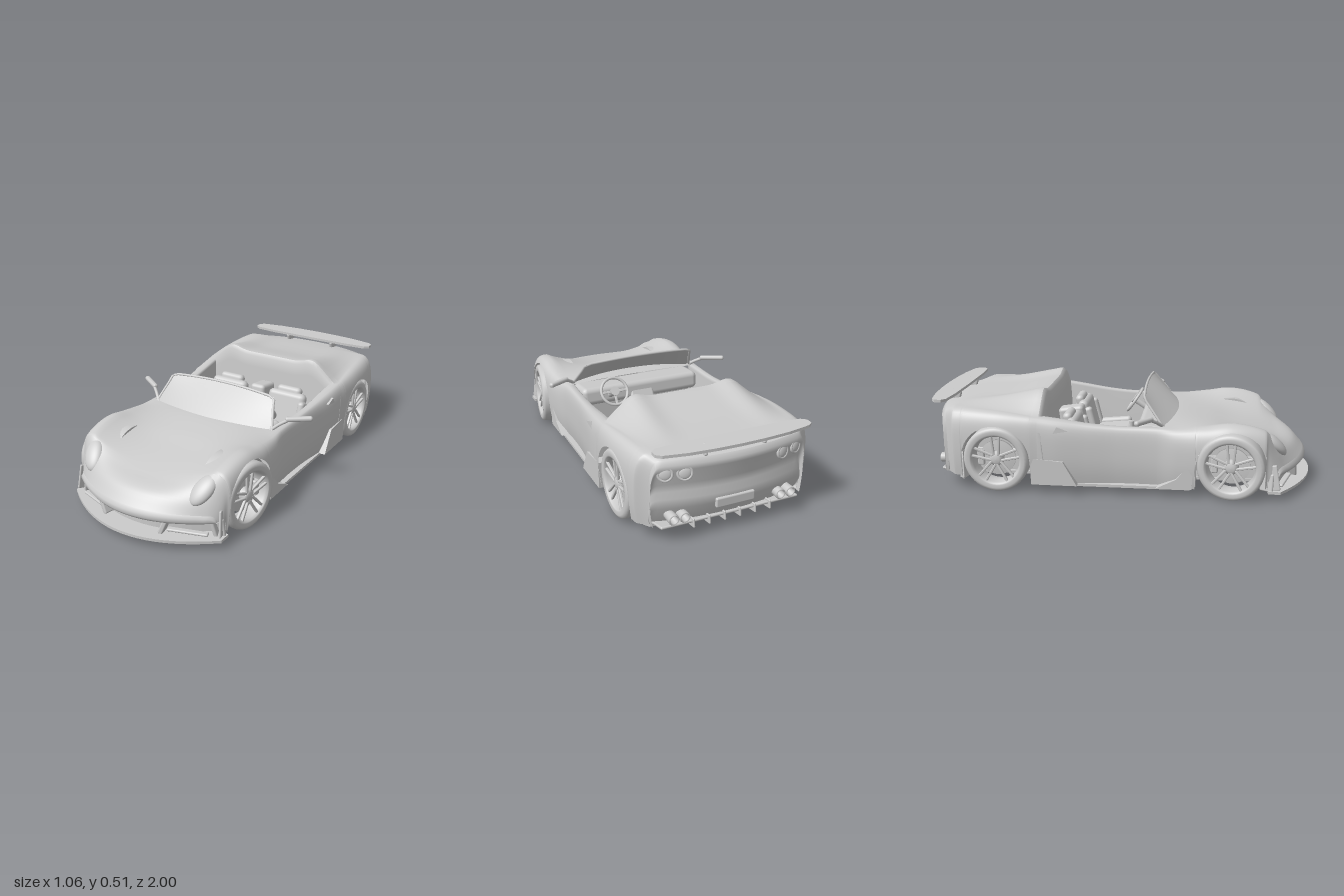
import * as THREE from 'three';
import { RoundedBoxGeometry } from 'three/addons/geometries/RoundedBoxGeometry.js';

const mat = new THREE.MeshStandardMaterial({ color: 0xcccccc, side: THREE.DoubleSide });
const V = (x, y, z) => new THREE.Vector3(x, y, z);
const { lerp, clamp, smoothstep } = THREE.MathUtils;
const range = (n, a = 0, b = 1) => Array.from({ length: n + 1 }, (_, i) => lerp(a, b, i / n));
const WHEEL_Y = 0.17, ARCH = 0.18, FRONT_Z = 0.575, REAR_Z = -0.62;

// station z, half width, fender crest x, fender crest y, centre y, buttress height
const STATIONS = [
  [-0.96, 0.40, 0.34, 0.405, 0.41, 0], [-0.85, 0.45, 0.36, 0.428, 0.425, 0.002],
  [-0.62, 0.472, 0.39, 0.42, 0.448, 0.02], [-0.45, 0.468, 0.405, 0.402, 0.48, 0.032],
  [-0.40, 0.462, 0.405, 0.396, 0.485, 0.036], [-0.30, 0.455, 0.40, 0.383, 0.485, 0],
  [-0.15, 0.435, 0.395, 0.362, 0.4, 0], [0, 0.42, 0.39, 0.35, 0.36, 0],
  [0.2, 0.42, 0.385, 0.35, 0.36, 0], [0.3, 0.44, 0.38, 0.348, 0.36, 0],
  [0.45, 0.46, 0.37, 0.366, 0.338, 0], [0.57, 0.462, 0.37, 0.382, 0.312, 0],
  [0.7, 0.45, 0.365, 0.362, 0.287, 0], [0.8, 0.43, 0.35, 0.315, 0.264, 0],
  [0.9, 0.42, 0.34, 0.23, 0.235, 0], [0.96, 0.41, 0.36, 0.165, 0.175, 0]];

// smooth interpolation of the station table
function station(s) {
  const T = STATIONS, n = T.length - 1;
  let i = 0;
  while (i < n - 1 && s > T[i + 1][0]) i++;
  const h = T[i + 1][0] - T[i][0], t = (s - T[i][0]) / h;
  const slope = (k, c) => {
    const a = T[Math.max(k - 1, 0)], b = T[Math.min(k + 1, n)];
    return (b[c] - a[c]) / (b[0] - a[0]) * h;
  };
  return [1, 2, 3, 4, 5].map(c => (2 * t ** 3 - 3 * t * t + 1) * T[i][c] + (t ** 3 - 2 * t * t + t) * slope(i, c)
    + (3 * t * t - 2 * t ** 3) * T[i + 1][c] + (t ** 3 - t * t) * slope(i + 1, c));
}

// rounds the nose and tail in plan
function bend(s, x) {
  const k = (x / 0.42) ** 2;
  if (s > 0.74) return s - (s - 0.74) / 0.22 * 0.17 * k;
  if (s < -0.84) return s + (-0.84 - s) / 0.12 * 0.08 * k;
  return s;
}

// lower edge of the body side, with the wheel arches cut out
function lowerEdge(s) {
  const base = s > 0.76 ? 0.06 + 0.07 * smoothstep(s, 0.76, 0.9) : s < -0.8 ? 0.08 : 0.05;
  for (const c of [FRONT_Z, REAR_Z]) {
    const d = Math.abs(s - c);
    if (d <= ARCH) return WHEEL_Y + Math.sqrt(ARCH * ARCH - d * d);
  }
  return base;
}

function sidePoints(s) {
  const [w, fx, f] = station(s), lo = lowerEdge(s), mid = 0.55 * f;
  return range(14).map(t => {
    const y = lo + (f - lo) * Math.sin(t * Math.PI / 2), u = clamp((y - mid) / (f - mid), 0, 1);
    const x = y < mid ? w - 0.03 * ((mid - y) / mid) ** 2 : fx + (w - fx) * Math.cbrt(1 - u ** 3);
    return V(x, y, bend(s, x));
  });
}

function fullSection(s) {
  const [, fx, f, c, hump] = station(s), side = sidePoints(s);
  const top = range(32, 1, -1).slice(1, -1).map(u => {
    const x = fx * u, a = Math.abs(u);
    const y = c + (f - c) * a ** (s < 0 ? 4 : 2.5) + hump * Math.exp(-(((Math.abs(x) - 0.27) / 0.07) ** 2));
    return V(x, y, bend(s, x));
  });
  return [...side, ...top, ...side.map(p => V(-p.x, p.y, p.z)).reverse()];
}

function doorSection(s) {
  const side = sidePoints(s), p = side[side.length - 1];
  return [...side, V(p.x - 0.02, p.y - 0.001, s), V(p.x - 0.03, p.y - 0.012, s), V(p.x - 0.04, 0.08, s)];
}

function stations(a, b) {
  const edges = [FRONT_Z, REAR_Z].flatMap(c => [-1, 1].flatMap(k => [c + k * ARCH, c + k * (ARCH + 0.001)]));
  return [...range(Math.round((b - a) / 0.012), a, b), ...edges.filter(e => e > a && e < b)].sort((p, q) => p - q);
}

export function createModel() {
  const car = new THREE.Group();
  car.name = 'openSportsCar';
  const add = (name, geo, pos = [0, 0, 0], rot = [0, 0, 0], parent = car) => {
    const m = new THREE.Mesh(geo, mat);
    m.name = name;
    m.position.set(...pos);
    m.rotation.set(...rot);
    parent.add(m);
    return m;
  };
  const box = (name, size, pos, rot, parent, r = 0.008) =>
    add(name, new RoundedBoxGeometry(...size, 2, Math.min(r, Math.min(...size) / 2.1)), pos, rot, parent);
  const surface = (name, rows, parent) => {
    const n = rows[0].length, idx = [];
    for (let i = 0; i < rows.length - 1; i++) for (let j = 0; j < n - 1; j++) {
      const a = i * n + j, b = a + n;
      idx.push(a, a + 1, b, a + 1, b + 1, b);
    }
    const g = new THREE.BufferGeometry().setFromPoints(rows.flat());
    g.setIndex(idx);
    g.computeVertexNormals();
    return add(name, g, undefined, undefined, parent);
  };
  const extrude = (pts, depth) => new THREE.ExtrudeGeometry(new THREE.Shape(pts.map(p => new THREE.Vector2(...p))),
    { depth, bevelEnabled: false });
  // mirrored plan outline (x, z) given from the front centre to the rear centre
  const plan = (name, half, y, h) => add(name,
    extrude([...half, ...half.slice().reverse().map(([x, z]) => [-x, z])], h).rotateX(Math.PI / 2), [0, y + h, 0]);
  const tube = (name, pts, r, parent) => add(name,
    new THREE.TubeGeometry(new THREE.CatmullRomCurve3(pts), 24, r, 8), undefined, undefined, parent);
  const bothSides = (name, build) => [1, -1].forEach(k => {
    const g = new THREE.Group();
    g.name = name;
    g.scale.x = k;
    car.add(g);
    build(g);
  });
  const cap = (name, s, bottom, profile) => {
    const sec = fullSection(s);
    surface(name, profile.map(([t, dz]) => sec.map(p => V(p.x, lerp(p.y, bottom, t), p.z + dz))));
  };

  // body shell
  surface('frontBody', stations(0.2, 0.96).map(fullSection));
  surface('rearBody', stations(-0.96, -0.4).map(fullSection));
  bothSides('doorSide', g => surface('doorPanel', stations(-0.41, 0.21).map(doorSection), g));
  cap('noseBumper', 0.96, 0.125, [[0, 0], [0.3, 0.012], [0.7, 0.014], [1, 0.004], [1, -0.07]]);
  cap('tailPanel', -0.96, 0.08, [[0, 0], [0.06, -0.018], [0.14, -0.014], [0.38, 0.008], [0.5, 0.012], [0.6, 0], [0.75, 0.004], [1, 0.04]]);
  cap('rearBulkhead', -0.4, 0.08, [[0, 0], [0.04, 0.018], [0.2, 0.024], [1, 0.04]]);

  // floor, splitter and front intake
  const arc = (z0, drop, w) => range(10, 0, w).map(x => [x, z0 - drop * (x / w) ** 2]);
  plan('floorPan', [...arc(1, 0.18, 0.44), [0.44, 0.76], [0.27, 0.74], [0.27, 0.4], [0.43, 0.37], [0.435, -0.42],
    [0.28, -0.45], [0.28, -0.79], [0.39, -0.81], [0.37, -0.84]], 0.04, 0.014);
  plan('grilleBack', [...arc(0.9, 0.15, 0.4), [0.4, 0.72]], 0.05, 0.09);
  bothSides('intakeFrame', g => {
    for (const [x, w, lean] of [[0.175, 0.025, -0.4], [0.375, 0.02, 0.25], [0.41, 0.016, 0.1]])
      box('intakePillar', [w, 0.095, 0.07], [x, 0.093, 0.915 - 0.17 * (x / 0.42) ** 2], [0, 0.5 * x / 0.42, lean], g);
    box('sideVentBlade', [0.012, 0.13, 0.05], [0.418, 0.12, 0.785], [-0.2, 0.3, 0.08], g);
    box('intakeLowerBar', [0.2, 0.014, 0.03], [0.275, 0.062, 0.85], [0, 0.3, 0], g);
    // headlight
    add('headlight', new THREE.SphereGeometry(1, 24, 16), [0.325, 0.268, 0.79], [0.8, -0.35, 0], g).scale.set(0.05, 0.03, 0.085);
  });

  // sills, scoops and wheel wells
  bothSides('bodySide', g => {
    const slab = (name, pts, x, d) => add(name, extrude(pts.map(([z, y]) => [-z, y]), d).rotateY(Math.PI / 2), [x, 0, 0], undefined, g);
    slab('rearSillBlade', [[-0.2, 0.05], [-0.435, 0.05], [-0.435, 0.19], [-0.27, 0.175]], 0.4, 0.064);
    slab('frontSillBlade', [[0.38, 0.05], [0.2, 0.05], [0.3, 0.1], [0.385, 0.2]], 0.4, 0.048);
    slab('sideScoop', [[-0.24, 0.335], [-0.32, 0.32], [-0.3, 0.355]], 0.4, 0.052);
    for (const z of [FRONT_Z, REAR_Z]) {
      add('wheelWell', new THREE.CylinderGeometry(ARCH, ARCH, 0.17, 32, 1, true, 0, Math.PI).rotateZ(Math.PI / 2), [0.34, WHEEL_Y, z], undefined, g);
      add('wellInnerWall', new THREE.CircleGeometry(ARCH, 32, 0, Math.PI).rotateY(Math.PI / 2), [0.256, WHEEL_Y, z], undefined, g);
      box('wellLowerWall', [0.01, 0.125, 2 * ARCH], [0.256, 0.11, z], undefined, g);
      for (const k of [-1, 1]) box('wellEndWall', [0.17, 0.12, 0.006], [0.34, 0.115, z + k * ARCH], undefined, g);
    }
    // door mirror
    tube('mirrorArm', [V(0.35, 0.345, 0.23), V(0.385, 0.375, 0.2), V(0.43, 0.402, 0.165)], 0.009, g);
    box('mirrorHead', [0.14, 0.026, 0.028], [0.467, 0.403, 0.14], [0, 0.55, 0.04], g, 0.012);
  });

  // windscreen with frame
  const screen = (u, v) => V(lerp(0.362, 0.312, v) * u, lerp(0.345, 0.497 - 0.015 * u * u, v), lerp(0.31 - 0.08 * u * u, 0.118 + 0.01 * u * u, v));
  surface('windscreen', range(6).map(v => range(20, -1, 1).map(u => screen(u, v))));
  tube('screenFrame', [...range(4).map(v => screen(-1, v)), ...range(6, -0.9, 0.9).map(u => screen(u, 1)), ...range(4, 1, 0).map(v => screen(1, v))], 0.007);

  // cockpit
  box('cockpitFloor', [0.74, 0.02, 0.66], [0, 0.08, -0.08]);
  box('dashboard', [0.7, 0.1, 0.17], [0, 0.295, 0.175], [0.1, 0, 0], car, 0.03);
  box('firewall', [0.72, 0.22, 0.02], [0, 0.19, 0.22]);
  box('centreTunnel', [0.1, 0.13, 0.5], [0, 0.15, -0.12], undefined, car, 0.02);
  box('centreDash', [0.14, 0.14, 0.05], [0, 0.25, 0.09], [0.5, 0, 0], car, 0.015);
  box('centreBackrest', [0.09, 0.22, 0.14], [0, 0.24, -0.29], [-0.15, 0, 0], car, 0.02);
  add('gearLever', new THREE.CylinderGeometry(0.012, 0.008, 0.06, 12), [0, 0.24, 0.03]);
  bothSides('seat', g => {
    box('seatCushion', [0.25, 0.07, 0.22], [0.19, 0.15, -0.09], [-0.1, 0, 0], g, 0.03);
    box('seatBack', [0.23, 0.23, 0.06], [0.19, 0.24, -0.235], [-0.25, 0, 0], g, 0.028);
    box('headrest', [0.15, 0.06, 0.05], [0.19, 0.345, -0.28], [-0.25, 0, 0], g, 0.022);
    for (const k of [-1, 1]) {
      box('cushionBolster', [0.045, 0.06, 0.2], [0.19 + k * 0.11, 0.175, -0.1], [-0.1, 0, 0], g, 0.02);
      box('backBolster', [0.04, 0.17, 0.06], [0.19 + k * 0.105, 0.235, -0.215], [-0.25, 0, 0], g, 0.018);
    }
  });
  const steering = new THREE.Group();
  steering.name = 'steeringWheel';
  steering.position.set(0.19, 0.345, 0.03);
  steering.rotation.x = 0.6;
  car.add(steering);
  add('steeringRim', new THREE.TorusGeometry(0.075, 0.008, 10, 36), undefined, undefined, steering);
  add('steeringHub', new THREE.CylinderGeometry(0.022, 0.025, 0.02, 20).rotateX(Math.PI / 2), undefined, undefined, steering);
  add('steeringColumn', new THREE.CylinderGeometry(0.014, 0.018, 0.12, 12).rotateX(Math.PI / 2), [0, 0, 0.06], undefined, steering);
  for (const a of [0, Math.PI, -Math.PI / 2])
    box('steeringSpoke', [0.06, 0.014, 0.006], [0.045 * Math.cos(a), 0.045 * Math.sin(a), 0], [0, 0, a], steering);

  // rear wing
  plan('rearWing', [[0, -0.878], [0.25, -0.88], [0.37, -0.89], [0.395, -0.91], [0.395, -0.945], [0.37, -0.965], [0.25, -0.987], [0.12, -0.997], [0, -1]], 0.45, 0.014);
  bothSides('rearDetails', g => {
    box('wingStrut', [0.02, 0.06, 0.06], [0.15, 0.43, -0.915], [0.3, 0, 0], g);
    // round lamps
    for (const [x, z] of [[0.25, -0.942], [0.335, -0.918]]) {
      const r = [0.12, -0.35 * x / 0.3, 0];
      add('tailLampRing', new THREE.TorusGeometry(0.032, 0.007, 10, 28), [x, 0.345, z], r, g);
      add('tailLamp', new THREE.SphereGeometry(0.03, 20, 12), [x, 0.345, z], r, g).scale.z = 0.35;
    }
    // exhausts
    for (const x of [0.25, 0.305])
      add('exhaustTip', new THREE.LatheGeometry([[0.014, -0.03], [0.024, -0.03], [0.026, 0.03], [0.022, 0.034], [0.019, 0.03], [0.017, -0.02], [0, -0.02]]
        .map(p => new THREE.Vector2(...p)), 20).rotateX(-Math.PI / 2), [x, 0.125, -0.925], undefined, g);
    for (const x of [0.04, 0.12, 0.2]) box('diffuserFin', [0.01, 0.045, 0.13], [x, 0.068, -0.885], [0.15, 0, 0], g);
  });
  box('diffuser', [0.72, 0.014, 0.13], [0, 0.068, -0.875], [0.25, 0, 0]);
  box('plateRecessFrame', [0.2, 0.05, 0.02], [0, 0.165, -0.958]);

  // wheels, the front pair steered
  const lathe = pts => new THREE.LatheGeometry(pts.map(p => new THREE.Vector2(...p)), 48).rotateZ(-Math.PI / 2);
  for (const [z, steer] of [[FRONT_Z, -0.14], [REAR_Z, 0]]) for (const k of [1, -1]) {
    const hub = new THREE.Group(), wheel = new THREE.Group();
    hub.name = z > 0 ? 'frontWheel' : 'rearWheel';
    hub.position.set(k * 0.408, WHEEL_Y, z);
    hub.rotation.y = steer;
    wheel.scale.x = k;
    hub.add(wheel);
    car.add(hub);
    add('tyre', lathe([[0.132, -0.05], [0.15, -0.053], [0.163, -0.048], [0.169, -0.036], [0.17, 0], [0.169, 0.036], [0.163, 0.048], [0.15, 0.053], [0.134, 0.05]]), undefined, undefined, wheel);
    add('rim', lathe([[0.132, -0.05], [0.122, -0.04], [0.118, 0], [0.122, 0.036], [0.128, 0.05], [0.136, 0.051]]), undefined, undefined, wheel);
    add('brakeDisc', lathe([[0, -0.012], [0.092, -0.012], [0.092, 0], [0, 0]]), undefined, undefined, wheel);
    add('hubCap', lathe([[0.036, 0], [0.034, 0.034], [0.018, 0.04], [0, 0.041]]), undefined, undefined, wheel);
    box('brakeCaliper', [0.035, 0.08, 0.035], [0, 0, -0.085], undefined, wheel);
    for (let i = 0; i < 5; i++) {
      const pair = new THREE.Group();
      pair.name = 'spokePair';
      pair.rotation.x = i * Math.PI * 2 / 5;
      wheel.add(pair);
      for (const e of [-1, 1]) box('spoke', [0.014, 0.105, 0.013], [0.034, 0.074, e * 0.017], [e * 0.09, 0, -0.06], pair, 0.004);
    }
  }
  return car;
}
